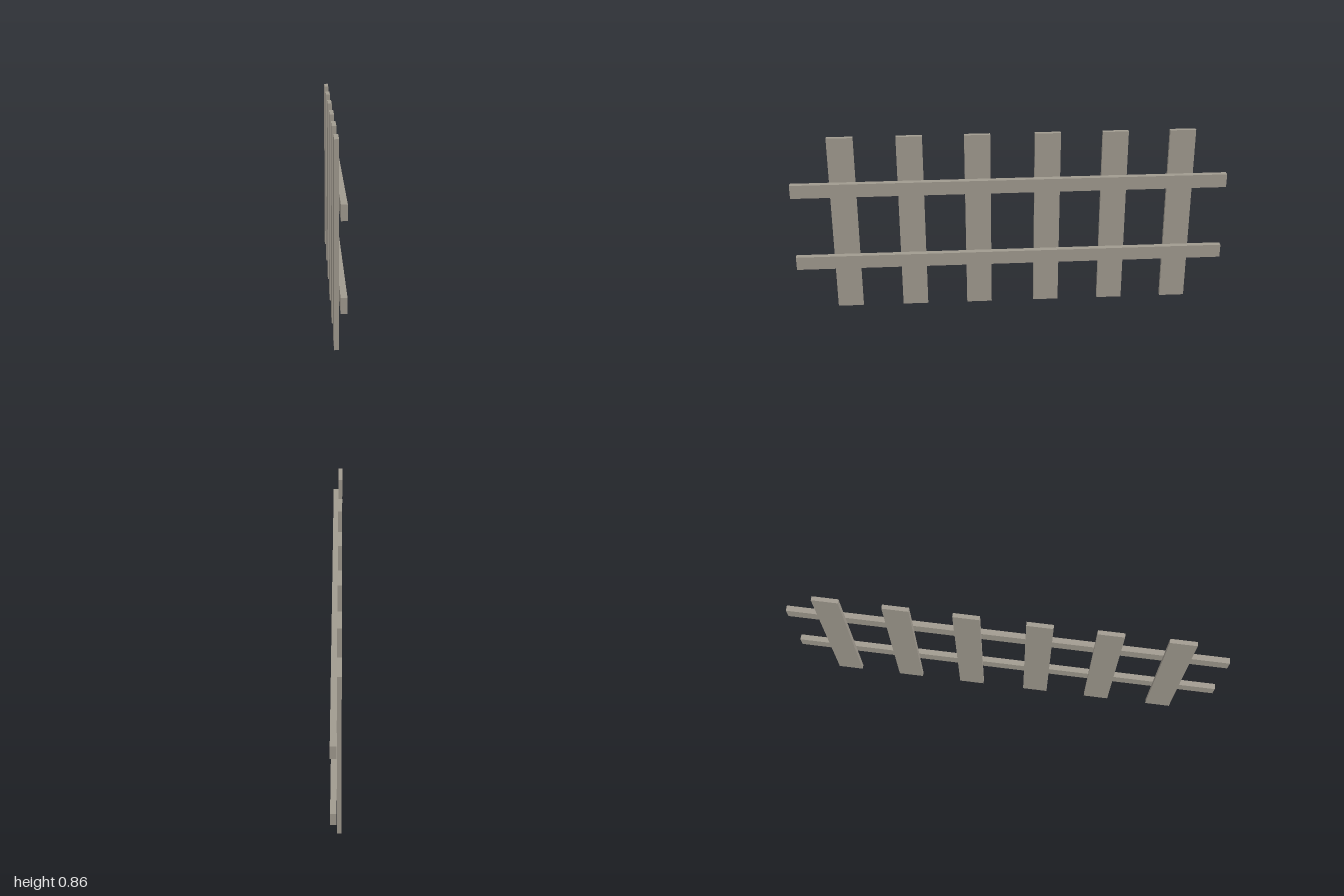
import * as THREE from 'three';

export function createModel() {
  const group = new THREE.Group();
  const wood = new THREE.MeshStandardMaterial({ color: 0xa09a8f });
  wood.name = 'weathered wood';

  // Box given by its lower and upper corners
  const plank = (name, [x0, y0, z0], [x1, y1, z1]) => {
    const mesh = new THREE.Mesh(new THREE.BoxGeometry(x1 - x0, y1 - y0, z1 - z0), wood);
    mesh.position.set((x0 + x1) / 2, (y0 + y1) / 2, (z0 + z1) / 2);
    mesh.name = name;
    group.add(mesh);
  };

  // Upright pickets, slightly unevenly spaced
  const half = 0.059;
  [0.764, 0.455, 0.149, -0.17, -0.478, -0.786].forEach((z, i) =>
    plank(`picket${i + 1}`, [-0.0226, 0, z - half], [-0.0034, 0.856, z + half]));

  // Two long rails fixed to the pickets
  plank('lowerRail', [-0.0034, 0.215, -1], [0.0226, 0.279, 1]);
  plank('upperRail', [-0.0034, 0.579, -1], [0.0226, 0.643, 1]);

  return group;
}
